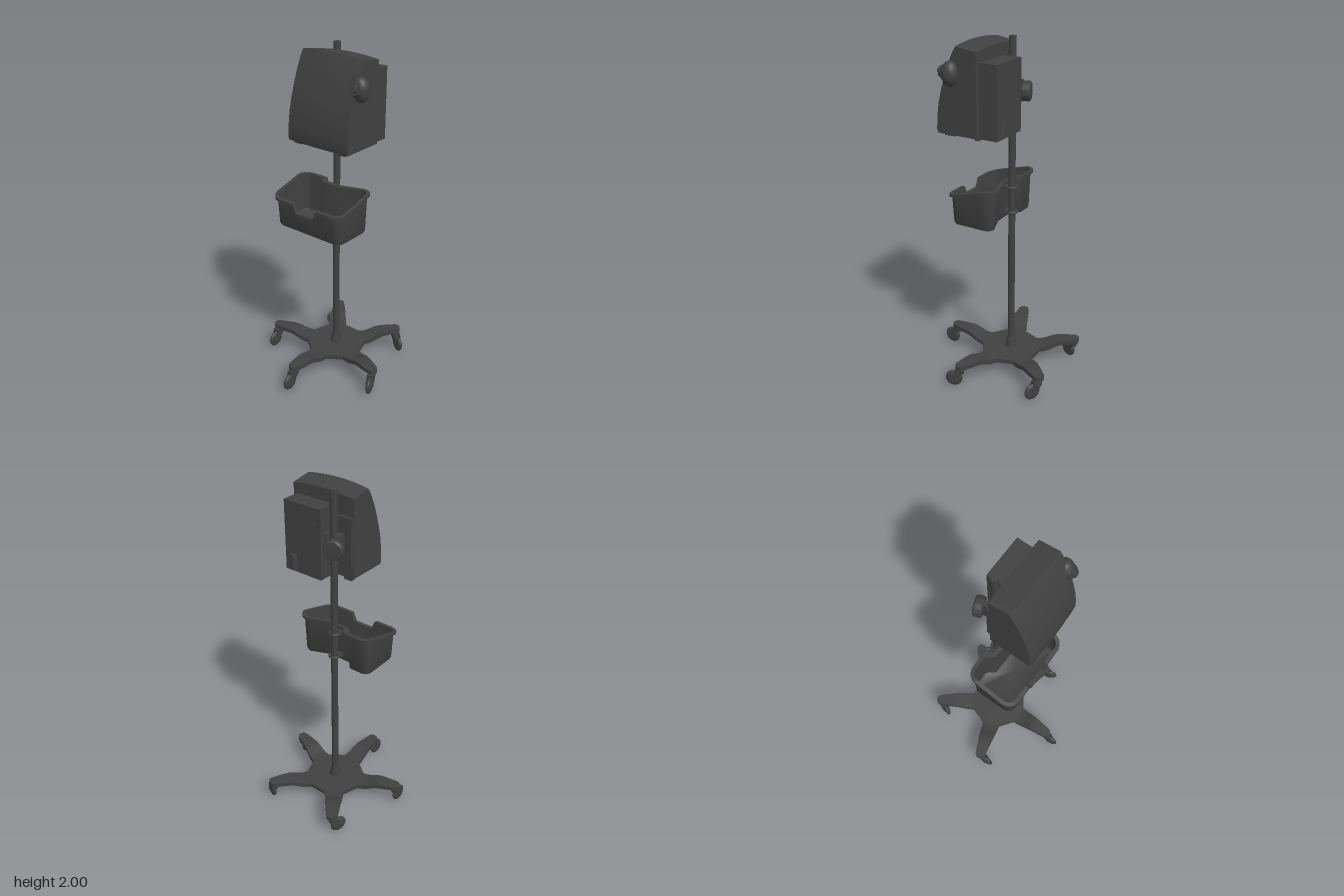
import * as THREE from 'three';
import { toCreasedNormals } from 'three/addons/utils/BufferGeometryUtils.js';

const material = new THREE.MeshStandardMaterial({ color: 0x404040 });
const POLE = { x: -0.005, z: -0.065 };

function add(parent, name, geometry, x = 0, y = 0, z = 0) {
  const mesh = new THREE.Mesh(geometry, material);
  mesh.name = name;
  mesh.position.set(x, y, z);
  parent.add(mesh);
  return mesh;
}

const box = (w, h, d) => new THREE.BoxGeometry(w, h, d);
const cylinder = (top, bottom, h, sides = 32) => new THREE.CylinderGeometry(top, bottom, h, sides);

// Joins closed rings of [x, y, z] points and caps both ends, facing outward.
function loft(rings, crease = 0.6) {
  const n = rings[0].length;
  const points = rings.flat().map((p) => new THREE.Vector3(...p));
  const faces = [];
  for (let r = 0; r < rings.length - 1; r++) {
    for (let i = 0; i < n; i++) {
      const a = r * n + i, b = r * n + ((i + 1) % n);
      faces.push([a, b, b + n], [a, b + n, a + n]);
    }
  }
  [0, rings.length - 1].forEach((r, end) => {
    const ring = points.slice(r * n, r * n + n);
    const centre = points.push(new THREE.Box3().setFromPoints(ring).getCenter(new THREE.Vector3())) - 1;
    for (let i = 0; i < n; i++) {
      const a = r * n + i, b = r * n + ((i + 1) % n);
      faces.push(end ? [a, b, centre] : [b, a, centre]);
    }
  });
  const cross = new THREE.Vector3();
  const volume = faces.reduce((sum, [a, b, c]) =>
    sum + points[a].dot(cross.crossVectors(points[b], points[c])), 0);
  if (volume < 0) faces.forEach((f) => f.reverse());
  const geometry = new THREE.BufferGeometry().setFromPoints(points);
  geometry.setIndex(faces.flat());
  return toCreasedNormals(geometry, crease);
}

// Leg that steps up from the hub and ends in a rounded tip.
function legGeometry() {
  const stations = [[0.169, 0.057], [0.2, 0.054], [0.225, 0.052], [0.25, 0.05], [0.275, 0.047],
    [0.3, 0.044], [0.35, 0.038]];
  for (let i = 0; i <= 8; i++) {
    const a = (i / 8) * Math.PI / 2;
    stations.push([0.392 + 0.031 * Math.sin(a), 0.031 * Math.cos(a) + 0.0005]);
  }
  return loft(stations.map(([t, w]) => {
    const y = 0.09 + 0.03 * THREE.MathUtils.smoothstep(t, 0.19, 0.3);
    return [[w, y + 0.027, t], [-w, y + 0.027, t], [-w, y, t], [w, y, t]];
  }));
}

// Swivel caster: stem, forked arm and rounded wheel trailing along +z.
function caster(yaw) {
  const group = new THREE.Group();
  group.name = 'caster';
  group.rotation.y = yaw;
  add(group, 'casterStem', cylinder(0.017, 0.017, 0.04, 20), 0, 0.105, 0);
  add(group, 'casterBridge', box(0.04, 0.022, 0.045), 0, 0.102, 0.012);
  const plate = new THREE.Shape();
  plate.moveTo(0.012, 0.112);
  plate.lineTo(-0.034, 0.112);
  plate.lineTo(-0.056, 0.05);
  plate.absarc(-0.043, 0.05, 0.013, Math.PI, Math.PI * 2, false);
  plate.lineTo(0.012, 0.09);
  const plateGeometry = new THREE.ExtrudeGeometry(plate, { depth: 0.004, bevelEnabled: false });
  plateGeometry.rotateY(Math.PI / 2);
  for (const x of [-0.021, 0.017]) add(group, 'casterFork', plateGeometry, x, 0, 0);
  const profile = [];
  for (let i = 0; i <= 14; i++) {
    const a = -Math.PI / 2 + (i / 14) * Math.PI;
    profile.push(new THREE.Vector2(0.05 * Math.cos(a) ** 0.6, 0.016 * Math.sin(a)));
  }
  profile[0].x = profile[14].x = 0;
  const wheel = add(group, 'casterWheel', new THREE.LatheGeometry(profile, 32), 0, 0.05, 0.043);
  wheel.rotation.z = Math.PI / 2;
  return group;
}

function base() {
  const group = new THREE.Group();
  group.name = 'base';
  group.position.set(POLE.x, 0, POLE.z);
  const step = Math.PI * 0.4;
  const hub = [];
  const legShape = legGeometry();
  [0, 0.35, 1.1, -0.35, 0].forEach((yaw, k) => {
    const a = k * step;
    for (const side of [-1, 1]) {
      const turn = a + side * Math.atan2(0.057, 0.169);
      hub.push([0.1784 * Math.sin(turn), 0.1784 * Math.cos(turn)]);
    }
    add(group, 'leg', legShape).rotation.y = a;
    const wheel = caster(yaw);
    wheel.position.set(0.392 * Math.sin(a), 0, 0.392 * Math.cos(a));
    group.add(wheel);
  });
  add(group, 'hubPlate', loft([0.09, 0.117].map((y) => hub.map(([x, z]) => [x, y, z]))));
  add(group, 'poleCollar', cylinder(0.023, 0.036, 0.065), 0, 0.148, 0);
  return group;
}

// Basket plan, drawn as (x, z), with a channel at the back for the pole.
function basketOutline(d) {
  const w = 0.24 - d, back = -0.073 + d, front = 0.205 - d, r = 0.055 - d;
  const s = new THREE.Shape();
  const corner = (x, z, start) => s.absarc(x, z, r, start, start + Math.PI / 2, false);
  s.moveTo(0.1 + d, back);
  corner(w - r, back + r, -Math.PI / 2);
  corner(w - r, front - r, 0);
  for (const x of [0.085, 0.06, -0.06, -0.085]) s.lineTo(x, front);
  corner(-w + r, front - r, Math.PI / 2);
  corner(-w + r, back + r, Math.PI);
  s.lineTo(-0.1 - d, back);
  s.lineTo(-0.062 - d, -0.028 + d);
  s.lineTo(0.062 + d, -0.028 + d);
  return s.getPoints(8);
}

function basket() {
  const group = new THREE.Group();
  group.name = 'basket';
  group.position.x = POLE.x;
  const rim = (x, z) => {
    if (z > 0.17 && Math.abs(x) < 0.07) return 1.085;
    return THREE.MathUtils.mapLinear(THREE.MathUtils.clamp(z, -0.03, 0.21), -0.03, 0.21, 1.2, 1.137);
  };
  // [inset, height, measured from rim]
  const levels = [[0.026, 0.96], [0.014, 0.963], [0.008, 0.975], [0, -0.014, true], [-0.015, -0.014, true],
    [-0.015, 0, true], [0.007, 0, true], [0.014, 0.978], [0.03, 0.968]];
  add(group, 'basketShell', loft(levels.map(([d, h, fromRim]) =>
    basketOutline(d).map((p) => [p.x, fromRim ? rim(p.x, p.y) + h : h, p.y]))));
  // Straps holding the basket to the pole
  for (const y of [1.01, 1.16]) {
    add(group, 'poleStrap', new THREE.TorusGeometry(0.028, 0.008, 10, 32), 0, y, POLE.z).rotation.x = Math.PI / 2;
    add(group, 'strapMount', box(0.07, 0.018, 0.02), 0, y, -0.036);
  }
  return group;
}

function monitor() {
  const group = new THREE.Group();
  group.name = 'monitor';
  // Side profile (z, y) swept across with a gentle crown on front and top
  const profile = [[-0.028, 1.51], [0.215, 1.51], [0.221, 1.53], [0.217, 1.6], [0.207, 1.67], [0.19, 1.74],
    [0.168, 1.81], [0.142, 1.88], [0.112, 1.945], [0.093, 1.975], [-0.028, 1.955]];
  const rings = [];
  for (let i = 0; i <= 12; i++) {
    const u = i / 6 - 1, crown = 1 - u * u;
    rings.push(profile.map(([z, y]) => [0.095 + 0.2 * u, y + (y > 1.9 ? 0.014 * crown : 0),
      z + (z > 0 ? 0.008 * crown : 0)]));
  }
  add(group, 'housing', loft(rings, 0.5));
  // Rotary control on a bulge at the front corner
  add(group, 'dialBulge', new THREE.SphereGeometry(0.05, 32, 20), 0.298, 1.835, 0.125).scale.set(1, 1.35, 0.95);
  const dial = new THREE.Group();
  dial.name = 'dial';
  dial.position.set(0.298, 1.845, 0.165);
  dial.rotation.x = Math.PI / 2 - 0.3;
  add(dial, 'dialSkirt', cylinder(0.034, 0.042, 0.022));
  add(dial, 'dialCap', cylinder(0.02, 0.022, 0.02), 0, 0.017, 0);
  group.add(dial);
  // Rear module with its feet
  add(group, 'rearModule', box(0.245, 0.395, 0.11), 0.148, 1.703, -0.08);
  add(group, 'rearBoss', cylinder(0.025, 0.025, 0.09), 0.215, 1.56, -0.127);
  add(group, 'rearButton', box(0.008, 0.012, 0.012), 0.06, 1.82, -0.138);
  for (const x of [-0.06, 0.235]) {
    add(group, 'foot', box(0.05, 0.02, 0.06), x, 1.502, 0.165);
    add(group, 'foot', box(0.05, 0.025, 0.025), x, 1.502, -0.005);
  }
  return group;
}

// Bracket, jaw and hand knob that clamp the monitor to the pole
function poleClamp() {
  const group = new THREE.Group();
  group.name = 'poleClamp';
  add(group, 'mountPlate', box(0.125, 0.27, 0.018), -0.04, 1.72, -0.036);
  add(group, 'jaw', box(0.03, 0.12, 0.07), -0.045, 1.705, -0.067);
  add(group, 'jaw', box(0.02, 0.12, 0.07), 0.025, 1.705, -0.067);
  const knob = new THREE.Group();
  knob.name = 'clampKnob';
  knob.position.set(-0.053, 1.705, -0.122);
  knob.rotation.set(-Math.PI / 2, 0, 0.35, 'YXZ');
  knob.rotation.y = 0.35;
  knob.rotation.z = 0;
  const profile = [[0, -0.045], [0.02, -0.045], [0.02, -0.02], [0.05, -0.02], [0.055, -0.014], [0.055, 0.018],
    [0.048, 0.027], [0, 0.03]].map((p) => new THREE.Vector2(...p));
  add(knob, 'clampKnobGrip', toCreasedNormals(new THREE.LatheGeometry(profile, 36), 0.6));
  group.add(knob);
  return group;
}

export function createModel() {
  const model = new THREE.Group();
  model.name = 'monitorStand';
  add(model, 'pole', cylinder(0.02, 0.02, 1.89), POLE.x, 1.055, POLE.z);
  model.add(base(), basket(), monitor(), poleClamp());
  return model;
}
